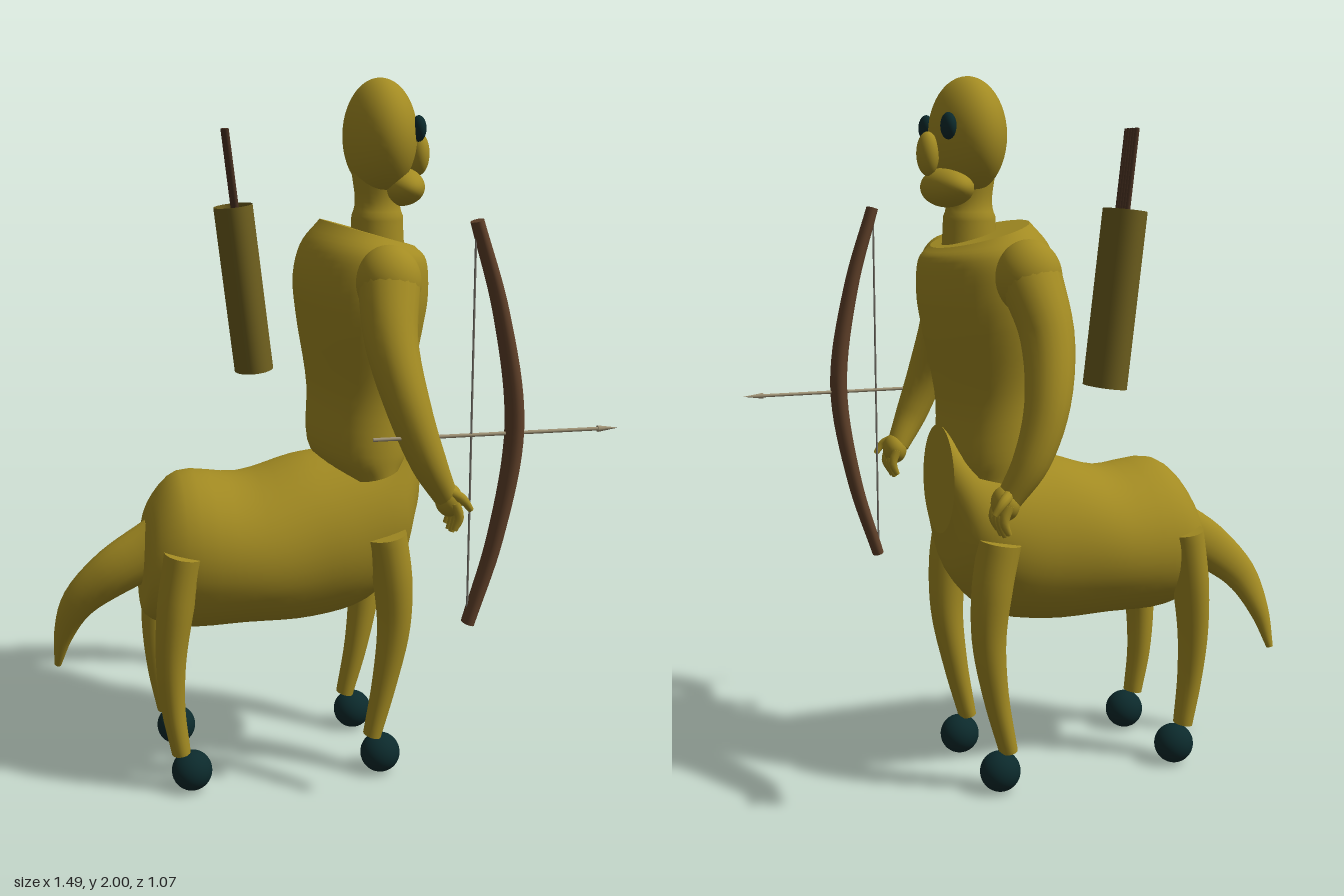
import * as THREE from 'three';

const V = (x, y, z = 0) => new THREE.Vector3(x, y, z);
const mat = (name, color, side = THREE.FrontSide) => {
  const m = new THREE.MeshStandardMaterial({ color, side });
  m.name = name;
  return m;
};

// Skin through elliptical rings { c: centre, u, v: half axes }, with flat caps.
function loft(rings, seg = 28) {
  const pos = [], idx = [];
  const addRing = (r) => {
    for (let i = 0; i < seg; i++) {
      const a = (i / seg) * Math.PI * 2;
      const p = r.c.clone().addScaledVector(r.u, Math.cos(a)).addScaledVector(r.v, Math.sin(a));
      pos.push(p.x, p.y, p.z);
    }
  };
  rings.forEach(addRing);
  for (let j = 0; j < rings.length - 1; j++) {
    for (let i = 0; i < seg; i++) {
      const a = j * seg + i, b = j * seg + (i + 1) % seg;
      idx.push(a, b, b + seg, a, b + seg, a + seg);
    }
  }
  [rings[0], rings[rings.length - 1]].forEach((r, end) => {
    const s = pos.length / 3;
    addRing(r);
    pos.push(r.c.x, r.c.y, r.c.z);
    for (let i = 0; i < seg; i++) {
      const a = s + i, b = s + (i + 1) % seg;
      if (end) idx.push(a, b, s + seg); else idx.push(b, a, s + seg);
    }
  });
  // Make the faces point outwards
  const P = (i) => V(pos[i * 3], pos[i * 3 + 1], pos[i * 3 + 2]);
  let volume = 0;
  for (let k = 0; k < idx.length; k += 3) volume += P(idx[k]).dot(P(idx[k + 1]).cross(P(idx[k + 2])));
  if (volume < 0) idx.reverse();
  const g = new THREE.BufferGeometry();
  g.setAttribute('position', new THREE.Float32BufferAttribute(pos, 3));
  g.setIndex(idx);
  g.computeVertexNormals();
  return g;
}

// Rows: back/top x, y, front/bottom x, y, half width in z
function trunk(rows, steps = 28) {
  const a = new THREE.CatmullRomCurve3(rows.map((r) => V(r[0], r[1], r[4])));
  const b = new THREE.CatmullRomCurve3(rows.map((r) => V(r[2], r[3], r[4])));
  return loft(Array.from({ length: steps + 1 }, (_, i) => {
    const p = a.getPoint(i / steps), q = b.getPoint(i / steps);
    const w = (p.z + q.z) / 2;
    p.z = q.z = 0;
    return { c: p.clone().add(q).multiplyScalar(0.5), u: p.clone().sub(q).multiplyScalar(0.5), v: V(0, 0, w) };
  }), 40);
}

// Rows: x, y, z, radius in the side plane, radius across
function limb(rows, steps = 20, seg = 20) {
  const path = new THREE.CatmullRomCurve3(rows.map((r) => V(r[0], r[1], r[2])));
  const size = new THREE.CatmullRomCurve3(rows.map((r) => V(r[3], r[4] ?? r[3], 0)));
  return loft(Array.from({ length: steps + 1 }, (_, i) => {
    const t = path.getTangent(i / steps), s = size.getPoint(i / steps);
    const across = V(0, 0, 1).addScaledVector(t, -t.z).normalize();
    return { c: path.getPoint(i / steps), u: t.clone().cross(across).multiplyScalar(s.x), v: across.multiplyScalar(s.y) };
  }), seg);
}

const ball = (x, y, z, rx, ry = rx, rz = rx) =>
  new THREE.SphereGeometry(1, 32, 24).scale(rx, ry, rz).translate(x, y, z);

export function createModel() {
  const root = new THREE.Group();
  root.name = 'centaurArcher';
  const skin = mat('ochre', 0xa38b22);
  const dark = mat('darkTeal', 0x0c2a2c);
  const leather = mat('olive leather', 0x6e5f1e, THREE.DoubleSide);
  const wood = mat('brown wood', 0x5f4029);
  const shaftWood = mat('dark brown', 0x4a3222);
  const pale = mat('pale shaft', 0xa09376);
  const cord = mat('grey string', 0x77736a);
  const add = (name, geo, m = skin, parent = root) => {
    const mesh = new THREE.Mesh(geo, m);
    mesh.name = name;
    parent.add(mesh);
    return mesh;
  };

  // Horse body, rear to chest
  add('horseBody', trunk([
    [-0.485, 0.74, -0.497, 0.56, 0.1], [-0.46, 0.82, -0.49, 0.49, 0.165],
    [-0.38, 0.9, -0.39, 0.45, 0.22], [-0.2, 0.89, -0.2, 0.45, 0.242],
    [-0.04, 0.935, 0.0, 0.45, 0.225], [0.07, 0.95, 0.16, 0.49, 0.212],
    [0.2, 0.97, 0.265, 0.6, 0.185], [0.295, 1.04, 0.302, 0.73, 0.13],
  ]));
  // Human torso, waist to shoulders
  add('torso', trunk([
    [0.07, 0.87, 0.27, 0.915, 0.18], [0.005, 0.96, 0.29, 0.94, 0.19],
    [0.0, 1.14, 0.29, 1.1, 0.195], [-0.03, 1.34, 0.325, 1.3, 0.24],
    [-0.038, 1.45, 0.34, 1.4, 0.25], [-0.015, 1.54, 0.332, 1.5, 0.24],
    [0.04, 1.61, 0.3, 1.535, 0.19],
  ]));
  add('neck', limb([[0.2, 1.5, 0, 0.08], [0.2, 1.62, 0, 0.073], [0.2, 1.75, 0, 0.073]]));

  // Head
  add('head', ball(0.205, 1.84, 0, 0.1, 0.16, 0.16));
  add('jaw', ball(0.265, 1.7, 0, 0.065, 0.055, 0.125));
  add('nose', ball(0.32, 1.79, 0, 0.03, 0.06, 0.04));

  for (const s of [1, -1]) {
    const side = s > 0 ? 'right' : 'left';
    add(side + 'Eye', ball(0.292, 1.862, s * 0.09, 0.02, 0.036, 0.033), dark);

    // Arm and hand
    const arm = new THREE.Group();
    arm.name = side + 'Arm';
    root.add(arm);
    add('shoulder', ball(0.15, 1.465, s * 0.305, 0.087, 0.1, 0.095), skin, arm);
    add('armLimb', limb([
      [0.15, 1.47, s * 0.31, 0.085], [0.135, 1.32, s * 0.39, 0.07, 0.08],
      [0.165, 1.15, s * 0.46, 0.058, 0.068], [0.215, 1.01, s * 0.475, 0.048, 0.055],
      [0.27, 0.91, s * 0.455, 0.033, 0.04],
    ]), skin, arm);
    add('palm', ball(0.28, 0.9, s * 0.455, 0.036, 0.045, 0.047), skin, arm);
    for (let i = 0; i < 4; i++) {
      const z = s * (0.417 + i * 0.025), tip = i % 3 ? 0.815 : 0.825;
      add('finger', limb([[0.285, 0.9, z, 0.014], [0.298, 0.86, z, 0.013], [0.285, tip, z, 0.008]], 8, 10), skin, arm);
    }
    add('thumb', limb([[0.28, 0.925, s * 0.48, 0.016], [0.305, 0.91, s * 0.5, 0.013], [0.328, 0.88, s * 0.5, 0.008]], 8, 10), skin, arm);

    // Legs and ball hooves
    const z = s * 0.165;
    add(side + 'FrontLeg', limb([
      [0.185, 0.73, s * 0.18, 0.06, 0.068], [0.207, 0.6, s * 0.178, 0.057, 0.064],
      [0.215, 0.45, s * 0.172, 0.048, 0.052], [0.192, 0.28, z, 0.036, 0.042],
      [0.155, 0.115, z, 0.026, 0.034],
    ]));
    add(side + 'RearLeg', limb([
      [-0.395, 0.71, s * 0.18, 0.055, 0.068], [-0.42, 0.56, s * 0.178, 0.052, 0.064],
      [-0.435, 0.4, s * 0.172, 0.043, 0.052], [-0.43, 0.25, z, 0.034, 0.042],
      [-0.41, 0.115, z, 0.027, 0.034],
    ]));
    add(side + 'FrontHoof', ball(0.18, 0.058, z, 0.058), dark);
    add(side + 'RearHoof', ball(-0.38, 0.058, z, 0.058), dark);
  }

  add('tail', limb([
    [-0.44, 0.69, 0, 0.085, 0.06], [-0.57, 0.615, -0.01, 0.072, 0.052], [-0.67, 0.52, -0.045, 0.052, 0.04],
    [-0.715, 0.41, -0.09, 0.03, 0.028], [-0.735, 0.3, -0.125, 0.01],
  ]));

  // Quiver with a row of arrows
  const quiver = new THREE.Group();
  quiver.name = 'quiver';
  quiver.position.set(-0.148, 1.395, -0.212);
  quiver.rotation.z = 0.12;
  root.add(quiver);
  add('quiverTube', new THREE.CylinderGeometry(1, 1, 0.49, 32, 1, true).scale(0.057, 1, 0.079), leather, quiver);
  add('quiverBase', new THREE.CircleGeometry(1, 32).rotateX(Math.PI / 2).scale(0.057, 1, 0.079).translate(0, -0.24, 0), leather, quiver);
  for (let i = 0; i < 5; i++) {
    add('spareArrow', new THREE.CylinderGeometry(0.007, 0.007, 0.56, 8).translate(0.003, 0.187, -0.022 + i * 0.0155), shaftWood, quiver);
  }

  // Bow, string and nocked arrow
  const bow = new THREE.Group();
  bow.name = 'bow';
  bow.position.z = 0.492;
  root.add(bow);
  add('bowStave', limb([
    [0.328, 1.64, 0, 0.017, 0.026], [0.4, 1.4, 0, 0.021, 0.03], [0.445, 1.1, 0, 0.025, 0.034],
    [0.4, 0.8, 0, 0.021, 0.03], [0.328, 0.563, 0, 0.017, 0.026],
  ], 32), wood, bow);
  add('bowString', new THREE.CylinderGeometry(0.003, 0.003, 1.06, 8).translate(0.326, 1.1, 0), cord, bow);
  add('arrowShaft', new THREE.CylinderGeometry(0.005, 0.005, 0.63, 10).rotateZ(-Math.PI / 2).translate(0.375, 1.082, 0), pale, bow);
  add('arrowHead', new THREE.ConeGeometry(0.009, 0.06, 10).rotateZ(-Math.PI / 2).translate(0.71, 1.082, 0), pale, bow);
  return root;
}
